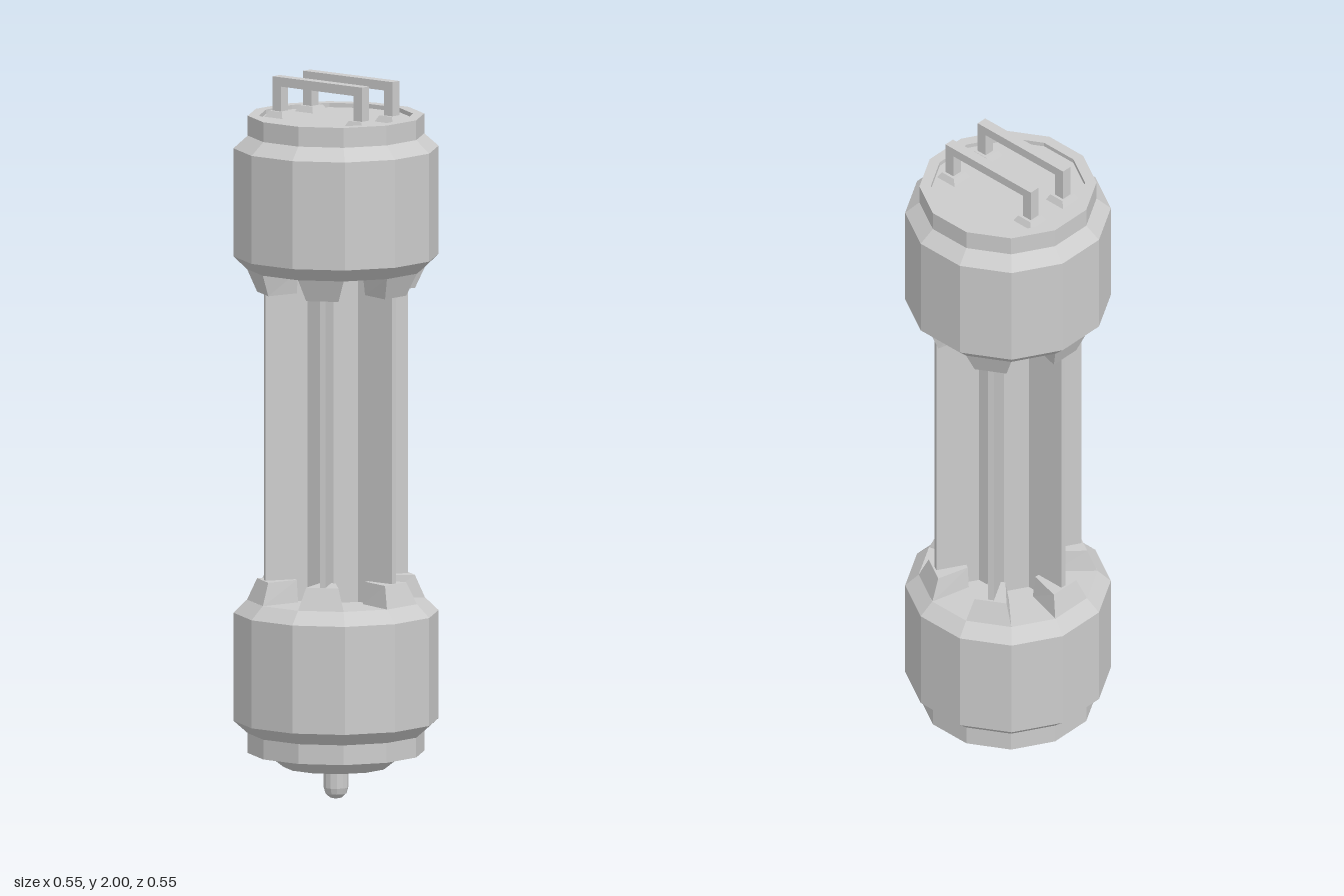
import * as THREE from 'three';

const mat = new THREE.MeshStandardMaterial({ color: 0xcccccc, flatShading: true });
const FLAT = Math.cos(Math.PI / 12); // flat-to-corner ratio of a 12-sided ring

function add(parent, name, geometry, x = 0, y = 0, z = 0) {
  const mesh = new THREE.Mesh(geometry, mat);
  mesh.name = name;
  mesh.position.set(x, y, z);
  parent.add(mesh);
  return mesh;
}

// 12-sided body with flats on the axes; profile is [flat radius, y] going up
function ring(profile) {
  const points = profile.map(([r, y]) => new THREE.Vector2(r / FLAT, y));
  return new THREE.LatheGeometry(points, 12, Math.PI / 12);
}

// Box whose corners are moved by a rule(sx, sy, sz) -> [x, y, z], signs being +1 or -1
function shapedBox(rule) {
  const g = new THREE.BoxGeometry(2, 2, 2);
  const p = g.attributes.position;
  for (let i = 0; i < p.count; i++) p.setXYZ(i, ...rule(p.getX(i), p.getY(i), p.getZ(i)));
  g.computeVertexNormals();
  return g;
}

// Six wedge claws that grip the fins
function clawRing(name) {
  const group = new THREE.Group();
  group.name = name;
  const claw = shapedBox((sx, sy, sz) => {
    const top = sy > 0, outer = sz > 0;
    const half = outer ? (top ? 0.045 : 0.064) : (top ? 0.021 : 0.031);
    const radius = outer ? (top ? 0.214 : 0.237) : 0.122;
    return [sx * half, top ? 0.617 : 0.555, radius];
  });
  for (let i = 0; i < 6; i++) add(group, 'claw', claw).rotation.y = i * Math.PI / 3;
  return group;
}

// Bail handle with two tapered feet
function handle(x) {
  const group = new THREE.Group();
  group.name = 'handle';
  group.position.x = x;
  const foot = shapedBox((sx, sy, sz) => {
    const h = sy > 0 ? 0.023 : 0.033;
    return [sx * h, sy > 0 ? 1.905 : 1.886, sz * h];
  });
  for (const s of [-1, 1]) {
    add(group, 'handleFoot', foot, 0, 0, s * 0.143);
    add(group, 'handleLeg', new THREE.BoxGeometry(0.03, 0.08, 0.03), 0, 1.937, s * 0.145);
  }
  add(group, 'handleBar', new THREE.BoxGeometry(0.03, 0.026, 0.32), 0, 1.987, 0);
  return group;
}

export function createModel() {
  const model = new THREE.Group();
  model.name = 'canister';

  // End caps
  add(model, 'bottomCap', ring([
    [0, 0.09], [0.14, 0.09], [0.19, 0.13], [0.235, 0.13], [0.235, 0.185],
    [0.273, 0.22], [0.273, 0.52], [0.237, 0.556], [0, 0.556],
  ]));
  add(model, 'topCap', ring([
    [0, 1.474], [0.237, 1.474], [0.273, 1.51], [0.273, 1.81], [0.235, 1.845],
    [0.235, 1.9], [0.205, 1.9], [0.205, 1.888], [0, 1.888],
  ]));

  // Claws, the upper set turned over
  model.add(clawRing('lowerClaws'));
  const upper = clawRing('upperClaws');
  upper.rotation.z = Math.PI;
  upper.position.y = 2.03;
  model.add(upper);

  // Hexagonal core with a thin fin on each corner
  add(model, 'core', new THREE.CylinderGeometry(0.09, 0.09, 0.95, 6), 0, 1.015, 0);
  const fin = new THREE.BoxGeometry(0.016, 0.95, 0.13).translate(0, 0, 0.143);
  for (let i = 0; i < 6; i++) add(model, 'fin', fin, 0, 1.015, 0).rotation.y = i * Math.PI / 3;

  // Handles on the lid
  for (const s of [-1, 1]) model.add(handle(s * 0.065));

  // Rounded contact pin underneath
  const pin = [[0, 0], [0.017, 0.004], [0.029, 0.015], [0.034, 0.032], [0.034, 0.1]];
  add(model, 'contactPin', new THREE.LatheGeometry(pin.map(([r, y]) => new THREE.Vector2(r, y)), 12, Math.PI / 12));

  return model;
}
